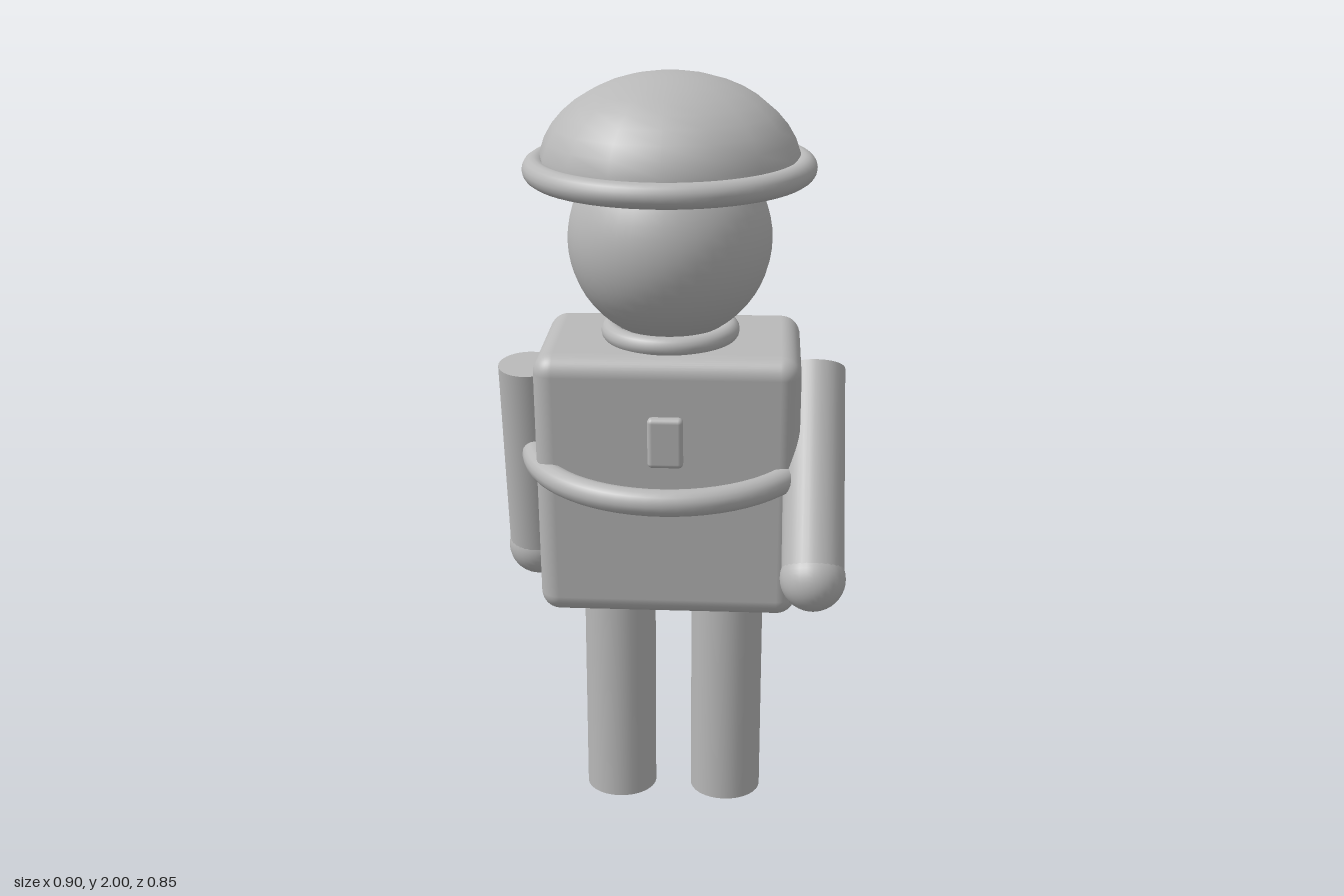
import * as THREE from 'three';
import { RoundedBoxGeometry } from 'three/addons/geometries/RoundedBoxGeometry.js';

export function createModel() {
  const model = new THREE.Group();
  model.name = 'helmetedFigure';

  const grey = new THREE.MeshStandardMaterial({ color: 0xb8b8b8 });
  grey.name = 'plainGrey';
  const greyShell = new THREE.MeshStandardMaterial({ color: 0xb8b8b8, side: THREE.DoubleSide });
  greyShell.name = 'plainGreyShell';

  const add = (parent, name, geometry, x, y, z, material = grey) => {
    const mesh = new THREE.Mesh(geometry, material);
    mesh.name = name;
    mesh.position.set(x, y, z);
    parent.add(mesh);
    return mesh;
  };
  const ring = (radius, tube) => new THREE.TorusGeometry(radius, tube, 16, 64).rotateX(Math.PI / 2);

  // Upper body leans forward about the torso centre
  const upper = new THREE.Group();
  upper.name = 'upperBody';
  upper.position.set(0, 1, 0);
  upper.rotation.x = 0.087;
  model.add(upper);

  add(upper, 'torso', new RoundedBoxGeometry(0.66, 0.7, 0.42, 5, 0.05), 0, 0, 0);
  add(upper, 'collar', ring(0.15, 0.025), 0, 0.365, 0);
  add(upper, 'head', new THREE.SphereGeometry(0.253, 40, 28), 0, 0.6, 0);
  add(upper, 'belt', ring(0.355, 0.033), 0, 0.04, 0);
  add(upper, 'chestBadge', new RoundedBoxGeometry(0.088, 0.13, 0.03, 3, 0.012), 0, 0.145, 0.23);
  add(upper, 'backCanister', new THREE.CylinderGeometry(0.11, 0.11, 0.38, 32), 0, 0.012, -0.302);

  // Helmet: open flattened dome with a rolled brim
  const dome = new THREE.SphereGeometry(0.32, 16, 10, 0, Math.PI * 2, 0, Math.PI / 2).scale(1, 0.7, 1);
  add(upper, 'helmetDome', dome, 0, 0.777, 0, greyShell);
  add(upper, 'helmetBrim', ring(0.328, 0.03), 0, 0.777, 0);

  // Legs and arms, one of each per side
  for (const side of [-1, 1]) {
    const label = side > 0 ? 'left' : 'right';
    add(model, label + 'Leg', new THREE.CylinderGeometry(0.098, 0.098, 0.64, 32), side * 0.148, 0.32, -0.1);

    // Left arm swings forward, right arm slightly back
    const arm = new THREE.Group();
    arm.name = label + 'Arm';
    arm.position.set(side * 0.367, 1.263, 0.027);
    arm.rotation.x = side > 0 ? -0.56 : 0.19;
    add(arm, label + 'Sleeve', new THREE.CylinderGeometry(0.077, 0.077, 0.52, 32), 0, -0.26, 0);
    add(arm, label + 'Hand', new THREE.SphereGeometry(0.081, 28, 20), 0, -0.54, 0);
    model.add(arm);
  }
  return model;
}
